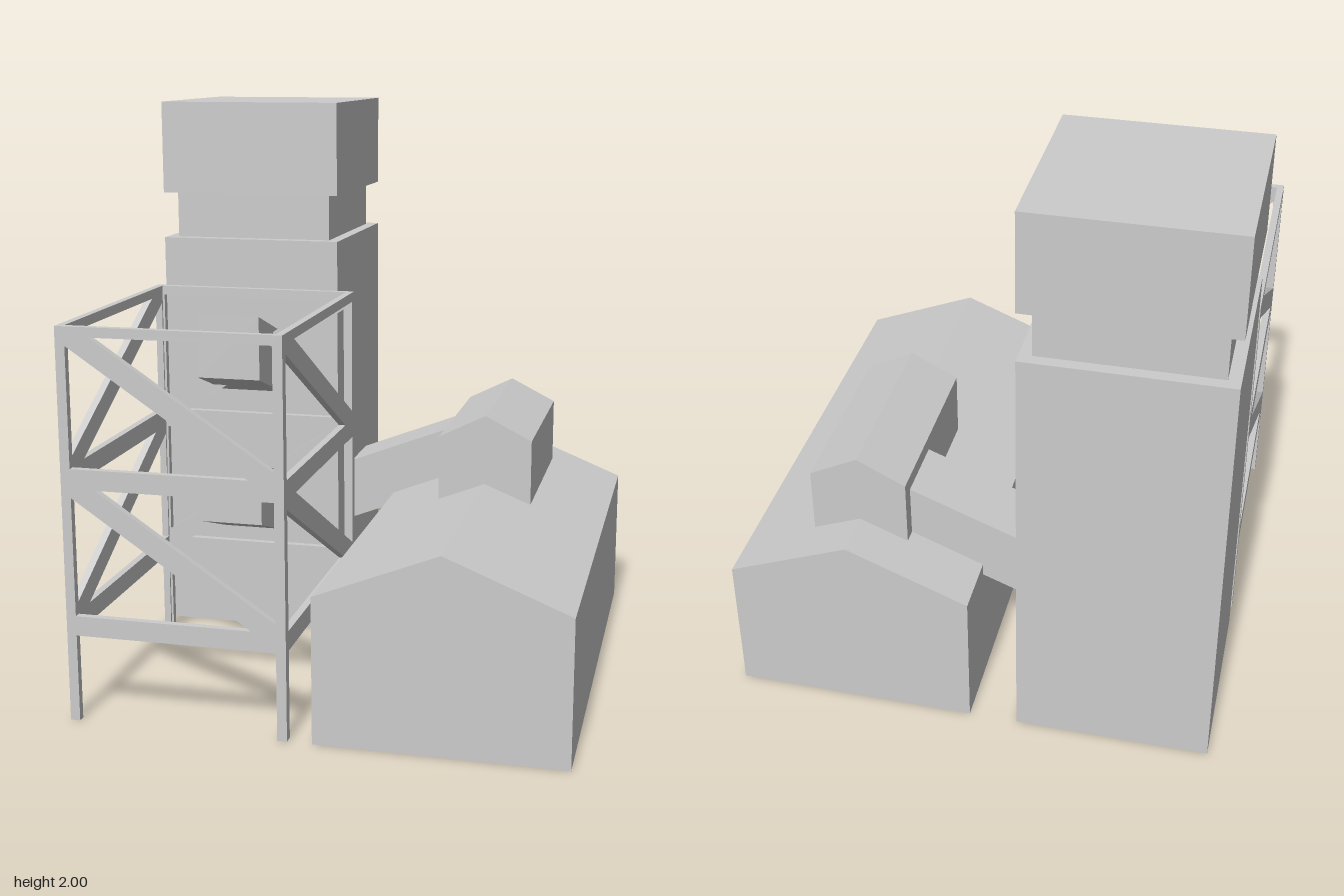
import * as THREE from 'three';

const material = new THREE.MeshStandardMaterial({ color: 0xcccccc, flatShading: true });

// Box given by its lower and upper limits on each axis
function box(name, [x0, x1], [y0, y1], [z0, z1]) {
  const mesh = new THREE.Mesh(new THREE.BoxGeometry(x1 - x0, y1 - y0, z1 - z0), material);
  mesh.name = name;
  mesh.position.set((x0 + x1) / 2, (y0 + y1) / 2, (z0 + z1) / 2);
  return mesh;
}

// Side profile pushed along +z
function prism(name, points, depth, holes = []) {
  const toVectors = (list) => list.map(([x, y]) => new THREE.Vector2(x, y));
  const shape = new THREE.Shape(toVectors(points));
  for (const hole of holes) shape.holes.push(new THREE.Path(toVectors(hole)));
  const mesh = new THREE.Mesh(new THREE.ExtrudeGeometry(shape, { depth, bevelEnabled: false }), material);
  mesh.name = name;
  return mesh;
}

// Pitched-roof building with its ridge along z
function gabled(name, x0, x1, base, eaves, ridge, z0, z1) {
  const mesh = prism(name, [[x0, base], [x1, base], [x1, eaves], [(x0 + x1) / 2, ridge], [x0, eaves]], z1 - z0);
  mesh.position.z = z0;
  return mesh;
}

// Sloped rectangular duct rising along local +x
function duct(name, length, rise, height, width) {
  const mesh = prism(name, [[0, 0], [length, rise], [length, rise + height], [0, height]], width);
  mesh.geometry.translate(0, 0, -width / 2);
  return mesh;
}

// One side of the steel frame: two posts, three rails and a diagonal in each bay
const POST = 0.033, THICK = 0.025, TOP = 1.333;
function framePanel(name, width, trim, cut) {
  const outer = width / 2 - trim, inner = width / 2 - POST;
  const outline = [
    [-outer, 0], [-inner, 0], [-inner, 0.3], [inner, 0.3],
    [inner, 0], [outer, 0], [outer, TOP], [-outer, TOP],
  ];
  const holes = [];
  for (const [low, high] of [[0.367, 0.8], [0.867, 1.3]]) {
    holes.push([[-inner, low], [-inner, high - 0.03], [inner - cut, low]]);
    holes.push([[inner, high], [inner, low + 0.03], [-inner + cut, high]]);
  }
  return prism(name, outline, THICK, holes);
}

export function createModel() {
  const model = new THREE.Group();
  model.name = 'industrialPlant';

  // Stepped tower
  model.add(
    box('towerShaft', [-0.833, -0.167], [0, 1.5], [-0.833, -0.167]),
    box('towerNeck', [-0.792, -0.208], [1.5, 1.667], [-0.792, -0.208]),
    box('towerHead', [-0.833, -0.167], [1.667, 2], [-0.833, -0.167]),
  );

  // Hall with a raised roof house
  model.add(
    gabled('hall', 0, 0.833, 0, 0.5, 0.667, -0.833, 0.833),
    gabled('roofHouse', 0.25, 0.583, 0.5, 0.833, 0.917, -0.667, 0),
  );

  // Enclosed bridge from the tower up to the roof house
  const bridge = duct('conveyorBridge', 0.417, 0.163, 0.23, 0.233);
  bridge.position.set(-0.167, 0.39, -0.5);
  model.add(bridge);

  // Two chutes on the tower front
  for (const [name, y] of [['lowerChute', 0.39], ['upperChute', 0.93]]) {
    const chute = duct(name, 0.28, 0.1, 0.23, 0.233);
    chute.rotation.y = -Math.PI / 2;
    chute.position.set(-0.5, y, -0.167);
    model.add(chute);
  }

  // Open steel frame in front of the tower
  const frame = new THREE.Group();
  frame.name = 'steelFrame';
  frame.position.set(-0.458, 0, 0.375);
  const spanX = 0.75, spanZ = 0.917;
  ['frameFront', 'frameLeft', 'frameBack', 'frameRight'].forEach((name, i) => {
    const side = i % 2 === 1;
    const panel = side ? framePanel(name, spanZ, THICK, 0.1) : framePanel(name, spanX, 0, 0.083);
    panel.geometry.translate(0, 0, (side ? spanX : spanZ) / 2 - THICK);
    panel.rotation.y = i * Math.PI / 2;
    frame.add(panel);
  });
  model.add(frame);

  return model;
}
